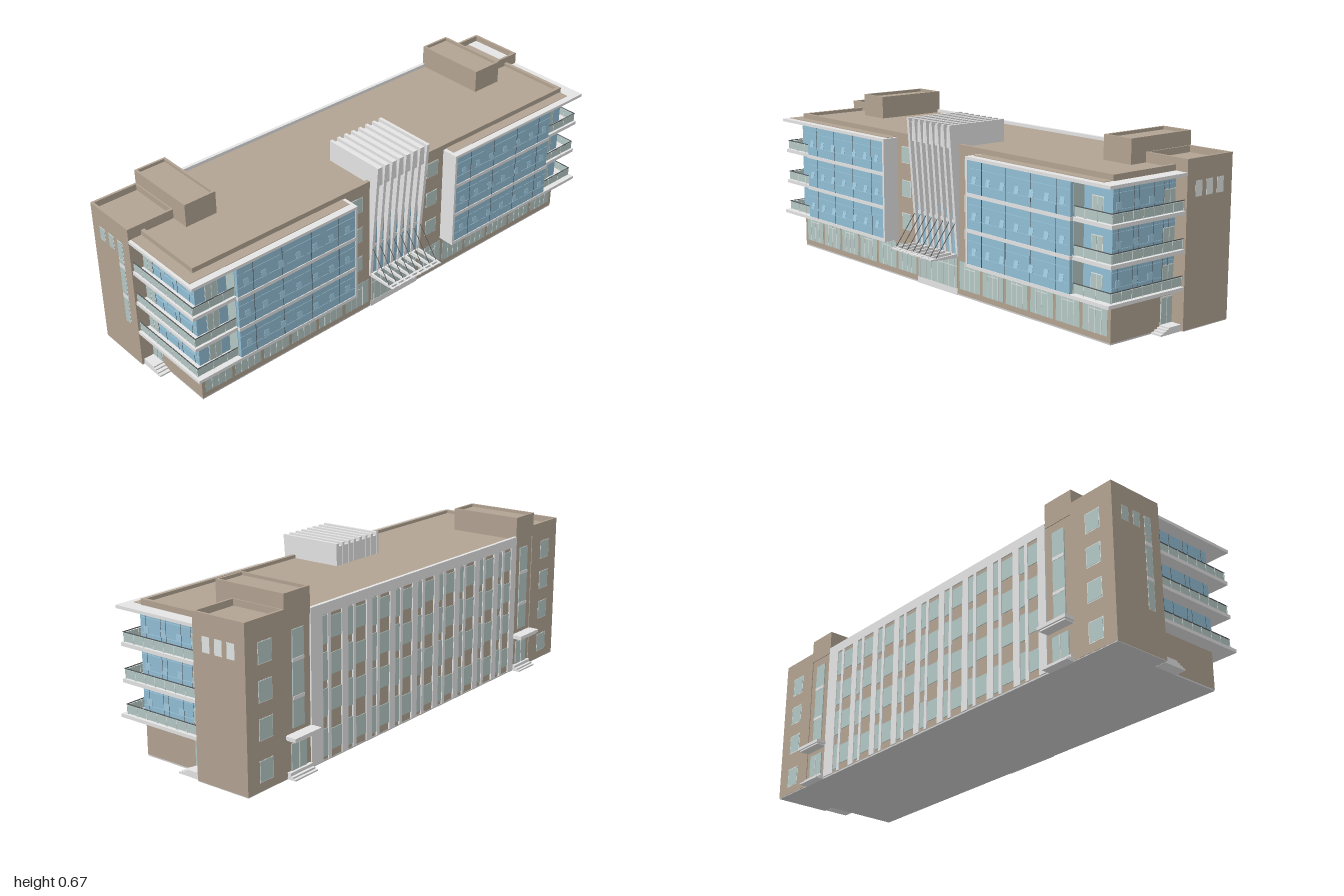
import * as THREE from 'three';

const mat = (name, color) => {
  const m = new THREE.MeshStandardMaterial({ color });
  m.name = name;
  return m;
};

export function createModel() {
  const root = new THREE.Group();
  root.name = 'officeBuilding';
  const brown = mat('brown cladding', 0xb2a392);
  const grey = mat('light grey concrete', 0xe4e4e4);
  const blue = mat('blue glass', 0x92bed6);
  const pale = mat('pale glass', 0xb3c7c4);
  const lightBlue = mat('light blue pane', 0xa0cae0);
  const frame = mat('pale frame', 0xe6ecea);
  const dark = mat('dark metal', 0x56595a);
  const base = mat('grey base', 0xd0d0d0);

  // Box between two corners
  const box = (name, m, x0, x1, y0, y1, z0, z1) => {
    const mesh = new THREE.Mesh(new THREE.BoxGeometry(x1 - x0, y1 - y0, Math.abs(z1 - z0)), m);
    mesh.position.set((x0 + x1) / 2, (y0 + y1) / 2, (z0 + z1) / 2);
    mesh.name = name;
    root.add(mesh);
    return mesh;
  };
  // The same box at both ends of the building
  const pair = (name, m, x0, x1, y0, y1, z0, z1) =>
    [1, -1].map(s => box(name, m, x0, x1, y0, y1, z0 * s, z1 * s));
  // Four walls round a roof, at both ends
  const parapet = (name, x0, x1, y0, y1, z0, z1, t) => {
    pair(name, brown, x0, x0 + t, y0, y1, z0, z1);
    pair(name, brown, x1 - t, x1, y0, y1, z0, z1);
    pair(name, brown, x0 + t, x1 - t, y0, y1, z0, z0 + t);
    pair(name, brown, x0 + t, x1 - t, y0, y1, z1 - t, z1);
  };
  const rod = (name, m, a, b, r) => {
    const d = new THREE.Vector3().subVectors(b, a);
    const mesh = new THREE.Mesh(new THREE.CylinderGeometry(r, r, d.length(), 6), m);
    mesh.position.copy(a).addScaledVector(d, 0.5);
    mesh.quaternion.setFromUnitVectors(new THREE.Vector3(0, 1, 0), d.normalize());
    mesh.name = name;
    root.add(mesh);
  };

  // Main body, base and roof edge
  box('base', base, -0.313, 0.224, 0, 0.006, -0.944, 0.944);
  pair('towerBase', base, -0.314, -0.081, 0, 0.003, 0.944, 0.999);
  box('mainBody', brown, -0.312, 0.225, 0.006, 0.577, -0.945, 0.945);
  box('roofParapet', brown, 0.21, 0.225, 0.577, 0.59, -0.945, 0.945);
  pair('roofParapet', brown, -0.08, 0.21, 0.577, 0.59, 0.93, 0.945);

  // Stair towers and roof houses
  pair('stairTower', brown, -0.315, -0.08, 0.003, 0.59, 0.8, 1);
  parapet('towerParapet', -0.315, -0.08, 0.59, 0.615, 0.8, 1, 0.01);
  box('towerRoofStrip', grey, -0.305, -0.09, 0.59, 0.592, -0.99, -0.94);
  pair('roofHouse', brown, -0.315, -0.004, 0.57, 0.658, 0.67, 0.805);
  parapet('roofHouseParapet', -0.315, -0.004, 0.658, 0.67, 0.67, 0.805, 0.009);

  // Tower windows on the end walls, with a tall slit at the front
  const frontWindow = (x0, x1, y0, y1) => {
    box('towerWindowFrame', frame, x0, x1, y0, y1, 0.999, 1.0005);
    box('towerWindow', pale, x0 + 0.002, x1 - 0.002, y0 + 0.002, y1 - 0.002, 0.999, 1.0015);
  };
  [[-0.27, -0.235], [-0.213, -0.179]].forEach(([a, b]) => {
    frontWindow(a, b, 0.478, 0.535);
    box('towerWindow', frame, a, b, 0.478, 0.535, -1.001, -0.999);
  });
  box('towerWindow', frame, -0.157, -0.123, 0.478, 0.535, -1.001, -0.999);
  [[0.17, 0.283], [0.296, 0.42], [0.433, 0.455], [0.457, 0.535]].forEach(([a, b]) =>
    frontWindow(-0.157, -0.123, a, b));
  [0.283, 0.42].forEach(y => box('slitBand', grey, -0.157, -0.123, y, y + 0.013, 0.999, 1.0015));

  // Floor and roof slabs
  pair('lowerSlab', grey, -0.08, 0.294, 0.15, 0.163, 0.255, 1);
  pair('roofSlab', grey, -0.08, 0.294, 0.556, 0.568, 0.255, 1);
  box('bayRoof', brown, -0.08, 0.266, 0.567, 0.57, 0.27, 0.988);
  box('bayRoof', brown, -0.08, 0.266, 0.567, 0.57, -0.94, -0.27);
  pair('slabSoffitBeam', grey, 0.2, 0.235, 0.142, 0.15, 0.27, 0.93);

  // Projecting glazed bays
  pair('bayGlass', blue, 0.22, 0.291, 0.163, 0.556, 0.264, 0.81);
  pair('bayEndWall', grey, 0.22, 0.294, 0.15, 0.568, 0.255, 0.265);
  pair('bayReturnGlass', pale, 0.225, 0.277, 0.163, 0.556, 0.809, 0.812);

  // Three glazed storeys
  [0.163, 0.297, 0.433].forEach((y0, f) => {
    const y1 = [0.283, 0.42, 0.556][f];
    // Corner glazing behind the balconies
    pair('endGlass', blue, -0.08, 0.228, y0, y1, 0.944, 0.948);
    pair('cornerGlass', blue, 0.224, 0.228, y0, y1, 0.81, 0.948);
    if (f) {
      pair('bayBand', grey, 0.22, 0.294, y0 - 0.014, y0, 0.255, 0.812);
      pair('balconySlab', grey, -0.08, 0.281, y0 - 0.014, y0, 0.81, 0.996);
    }
    // Mullions and transoms
    [-0.048, -0.02, 0.028, 0.102, 0.127, 0.2].forEach(x =>
      pair('endMullion', dark, x - 0.0007, x + 0.0007, y0, y1, 0.947, 0.949));
    [0.345, 0.476, 0.61, 0.74].forEach(z =>
      pair('bayMullion', dark, 0.29, 0.292, y0, y1, z - 0.001, z + 0.001));
    [y1 - 0.03, y0 + 0.035].forEach(y => {
      pair('endTransom', lightBlue, -0.08, 0.228, y, y + 0.0015, 0.947, 0.9495);
      pair('bayTransom', lightBlue, 0.29, 0.292, y, y + 0.0015, 0.265, 0.81);
    });
    // Opening panes
    [0.028, 0.102, 0.187].forEach(x =>
      pair('endPane', lightBlue, x, x + 0.024, y0 + 0.035, y0 + 0.062, 0.948, 0.9495));
    for (let i = 0; i < 7; i++) {
      const z = 0.305 + i * 0.078;
      pair('tiltedPane', lightBlue, 0.294, 0.2955, y0 + 0.038, y0 + 0.066, z - 0.011, z + 0.011)
        .forEach(p => { p.rotation.z = 0.2; });
    }
    // Balcony doors
    pair('balconyDoorFrame', frame, -0.079, -0.02, y0, y0 + 0.077, 0.947, 0.949);
    [-0.077, -0.048].forEach(x =>
      pair('balconyDoor', pale, x, x + 0.026, y0, y0 + 0.074, 0.948, 0.95));
    pair('sideDoorFrame', frame, 0.227, 0.229, y0, y0 + 0.077, 0.85, 0.905);
    [0.853, 0.879].forEach(z => pair('sideDoor', pale, 0.228, 0.23, y0, y0 + 0.074, z, z + 0.023));
    // Glass balustrades with dark rails and posts
    pair('balustrade', pale, -0.08, 0.274, y0 + 0.003, y0 + 0.034, 0.987, 0.99);
    pair('balustrade', pale, 0.271, 0.274, y0 + 0.003, y0 + 0.034, 0.812, 0.99);
    pair('handrail', dark, -0.08, 0.276, y0 + 0.036, y0 + 0.039, 0.987, 0.99);
    pair('handrail', dark, 0.272, 0.275, y0 + 0.036, y0 + 0.039, 0.812, 0.99);
    for (let i = 0; i < 8; i++)
      pair('railPost', frame, -0.075 + i * 0.0493, -0.0735 + i * 0.0493, y0, y0 + 0.037, 0.986, 0.991);
    [0.86, 0.92].forEach(z => pair('railPost', frame, 0.27, 0.275, y0, y0 + 0.037, z, z + 0.0015));
    // Windows beside the central feature
    const w = y0 + 0.038;
    pair('wallWindowFrame', frame, 0.224, 0.226, w, w + 0.067, 0.168, 0.228);
    pair('wallWindow', pale, 0.224, 0.227, w + 0.002, w + 0.065, 0.17, 0.226);
  });

  // Ground floor shop glazing
  for (let i = 0; i < 6; i++) {
    const z = 0.137 + i * 0.1345;
    pair('groundGlass', pale, 0.224, 0.226, 0.028, 0.138, z, z + 0.12);
    [0.03, 0.06, 0.09].forEach(d =>
      pair('groundMullion', frame, 0.225, 0.227, 0.028, 0.138, z + d, z + d + 0.0025));
    pair('groundTransom', frame, 0.225, 0.227, 0.112, 0.1145, z + 0.03, z + 0.0925);
  }
  box('entranceGlass', pale, 0.224, 0.227, 0.025, 0.15, -0.122, 0.122);
  for (let i = -3; i <= 3; i++)
    box('entranceMullion', frame, 0.226, 0.228, 0.025, 0.15, i * 0.036 - 0.001, i * 0.036 + 0.001);
  box('entranceTransom', frame, 0.226, 0.228, 0.112, 0.1145, -0.122, 0.122);
  box('entranceStep', grey, 0.22, 0.228, 0, 0.025, -0.125, 0.125);

  // Central finned feature
  box('featureGlass', blue, 0.224, 0.228, 0.163, 0.58, -0.125, 0.125);
  box('featureTop', grey, 0.002, 0.255, 0.575, 0.652, -0.126, 0.126);
  const fin = new THREE.Shape([[0, 0.57], [0.222, 0.57], [0.222, 0.155], [0.231, 0.155], [0.27, 0.665], [0, 0.665]]
    .map(p => new THREE.Vector2(...p)));
  const finGeo = new THREE.ExtrudeGeometry(fin, { depth: 0.013, bevelEnabled: false });
  const rib = new THREE.Shape([[0.225, 0.15], [0.3, 0.152], [0.358, 0.156], [0.358, 0.161], [0.225, 0.165]]
    .map(p => new THREE.Vector2(...p)));
  const ribGeo = new THREE.ExtrudeGeometry(rib, { depth: 0.007, bevelEnabled: false });
  for (let i = 0; i < 8; i++) {
    const z = -0.126 + i * 0.036;
    [['fin', finGeo, 0.0065], ['canopyRib', ribGeo, 0.0035]].forEach(([name, geo, half]) => {
      const mesh = new THREE.Mesh(geo, grey);
      mesh.name = name;
      mesh.position.z = z - half;
      root.add(mesh);
    });
    rod('canopyCable', dark, new THREE.Vector3(0.24, 0.285, z), new THREE.Vector3(0.332, 0.162, z), 0.0015);
  }
  [0.23, 0.336, 0.352].forEach(x => box('canopyBar', grey, x - 0.004, x + 0.004, 0.156, 0.161, -0.13, 0.13));
  [0.283, 0.42].forEach(y => box('featureBand', grey, 0.224, 0.23, y, y + 0.012, -0.125, 0.125));

  // End entrances beside the towers
  pair('endDoorFrame', frame, -0.079, -0.02, 0.025, 0.125, 0.944, 0.947);
  [-0.077, -0.048].forEach(x => pair('endDoor', pale, x, x + 0.026, 0.027, 0.122, 0.944, 0.949));
  [[0.022, 0, 0.007], [0.008, 0.007, 0.013], [-0.006, 0.013, 0.019], [-0.018, 0.019, 0.025]].forEach(([x, a, b]) =>
    pair('endStep', grey, -0.08, x, a, b, 0.944, 0.99));

  // Rear entrances with canopy and steps
  pair('rearCanopy', grey, -0.359, -0.31, 0.15, 0.163, 0.665, 0.805);
  pair('rearCanopyBeam', grey, -0.353, -0.31, 0.144, 0.15, 0.672, 0.798);
  [[-0.348, 0, 0.006], [-0.337, 0.006, 0.013], [-0.326, 0.013, 0.025]].forEach(([x, a, b]) =>
    pair('rearStep', grey, x, -0.31, a, b, 0.675, 0.795));
  pair('rearDoor', pale, -0.316, -0.311, 0.025, 0.125, 0.695, 0.775);
  pair('rearDoorPost', frame, -0.318, -0.312, 0.025, 0.125, 0.734, 0.736);
  pair('rearStairGlass', pale, -0.316, -0.311, 0.18, 0.535, 0.705, 0.765);
  [0.283, 0.42].forEach(y => pair('rearStairBand', grey, -0.318, -0.311, y, y + 0.013, 0.705, 0.765));

  // Rear facade grid: grey frame, glass strips and brown spandrels
  pair('rearFrameEnd', grey, -0.318, -0.31, 0.006, 0.55, 0.63, 0.67);
  box('rearFrameTop', grey, -0.318, -0.304, 0.55, 0.59, -0.67, 0.67);
  const floors = [[0.035, 0.115], [0.185, 0.265], [0.32, 0.4], [0.455, 0.535]];
  const pitch = 1.28 / 9;
  for (let i = 0; i < 9; i++) {
    const z = -0.64 + i * pitch;
    box('rearPilaster', grey, -0.318, -0.31, 0.006, 0.55, z, z + 0.034);
    box('rearMullion', grey, -0.318, -0.31, 0.006, 0.55, z + 0.064, z + 0.08);
    floors.forEach(([a, b]) => {
      box('rearWindow', pale, -0.315, -0.31, a, b, z + 0.08, z + pitch);
      box('rearStripWindow', pale, -0.315, -0.31, a - 0.015, b + 0.01, z + 0.034, z + 0.064);
    });
  }
  // Rear tower windows
  floors.forEach(([a, b]) => {
    pair('towerRearFrame', frame, -0.3155, -0.312, a, b, 0.87, 0.94);
    pair('towerRearWindow', pale, -0.3165, -0.312, a + 0.003, b - 0.003, 0.873, 0.937);
  });
  return root;
}
